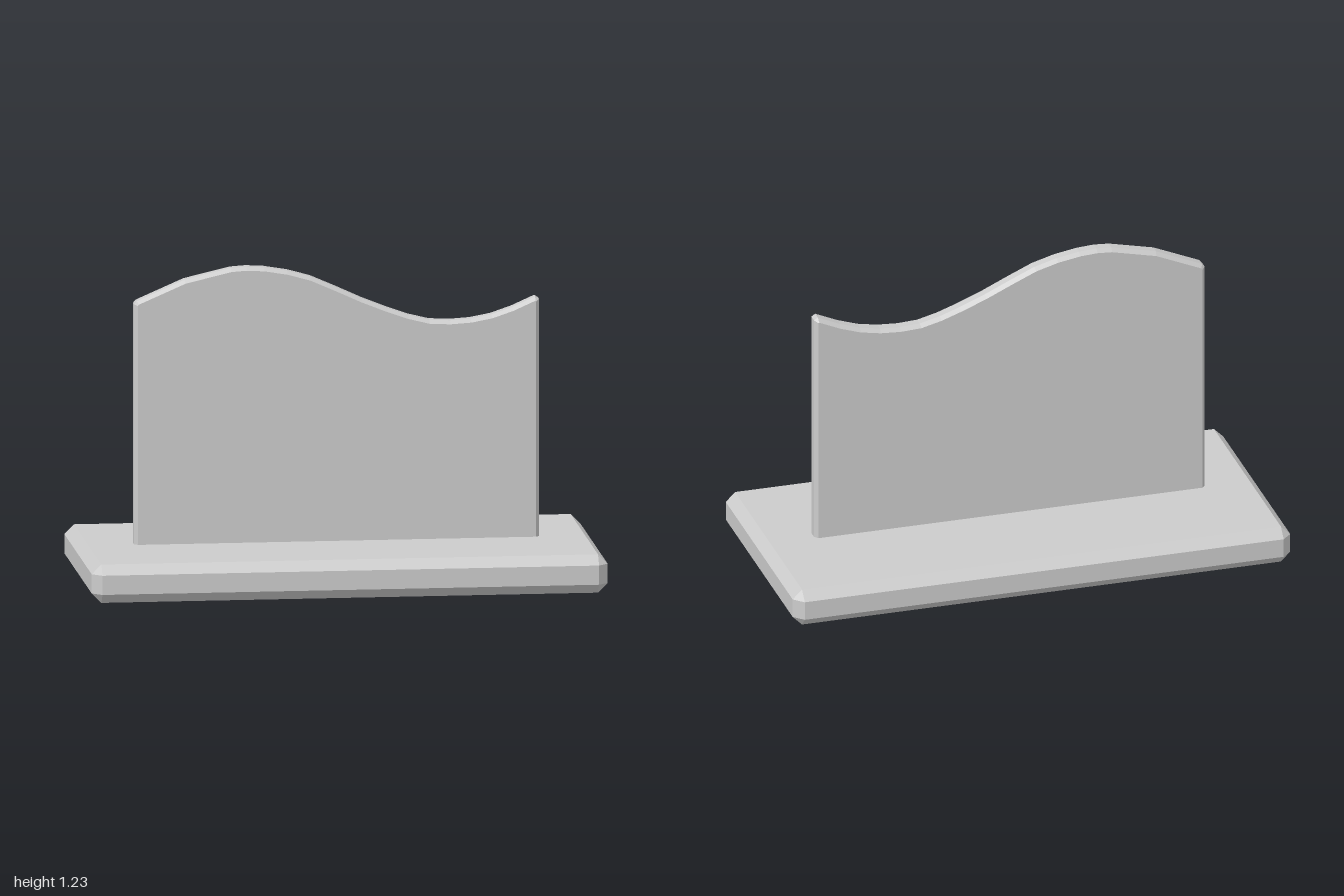
import * as THREE from 'three';
import { ConvexGeometry } from 'three/addons/geometries/ConvexGeometry.js';

const material = new THREE.MeshStandardMaterial({ color: 0xcccccc, flatShading: true });

// Box with every edge and corner cut flat, centred on the origin
function chamferedBox(width, height, depth, c) {
  const points = [];
  for (const sx of [-1, 1]) for (const sy of [-1, 1]) for (const sz of [-1, 1]) {
    const x = width / 2, y = height / 2, z = depth / 2;
    points.push(
      new THREE.Vector3(sx * x, sy * (y - c), sz * (z - c)),
      new THREE.Vector3(sx * (x - c), sy * y, sz * (z - c)),
      new THREE.Vector3(sx * (x - c), sy * (y - c), sz * z));
  }
  return new ConvexGeometry(points);
}

// Upright slab with a wavy top edge and bevelled rim
function wavyPanel() {
  const wave = [
    [0.77, 1.087], [0.68, 1.047], [0.6, 1.02], [0.52, 1.005], [0.44, 1.0], [0.36, 1.004],
    [0.28, 1.024], [0.2, 1.052], [0.1, 1.092], [0, 1.138], [-0.1, 1.182], [-0.19, 1.207],
    [-0.28, 1.222], [-0.35, 1.226], [-0.41, 1.222], [-0.59, 1.18], [-0.775, 1.1],
  ];
  const outline = [[-0.785, 0.12], [0.785, 0.12], [0.785, 1.077], ...wave, [-0.785, 1.088]];
  const shape = new THREE.Shape(outline.map(([x, y]) => new THREE.Vector2(x, y)));
  const core = 0.036, bevel = 0.016;
  const geometry = new THREE.ExtrudeGeometry(shape, {
    depth: core, bevelThickness: bevel, bevelSize: 0.013, bevelOffset: -0.013, bevelSegments: 1,
  });
  return geometry.translate(0, 0, -core / 2);
}

export function createModel() {
  const model = new THREE.Group();
  model.name = 'wavyPanelStand';

  const base = new THREE.Mesh(chamferedBox(2, 0.15, 0.97, 0.0375), material);
  base.name = 'base';
  base.position.y = 0.075;

  const panel = new THREE.Mesh(wavyPanel(), material);
  panel.name = 'wavyPanel';

  model.add(base, panel);
  return model;
}
